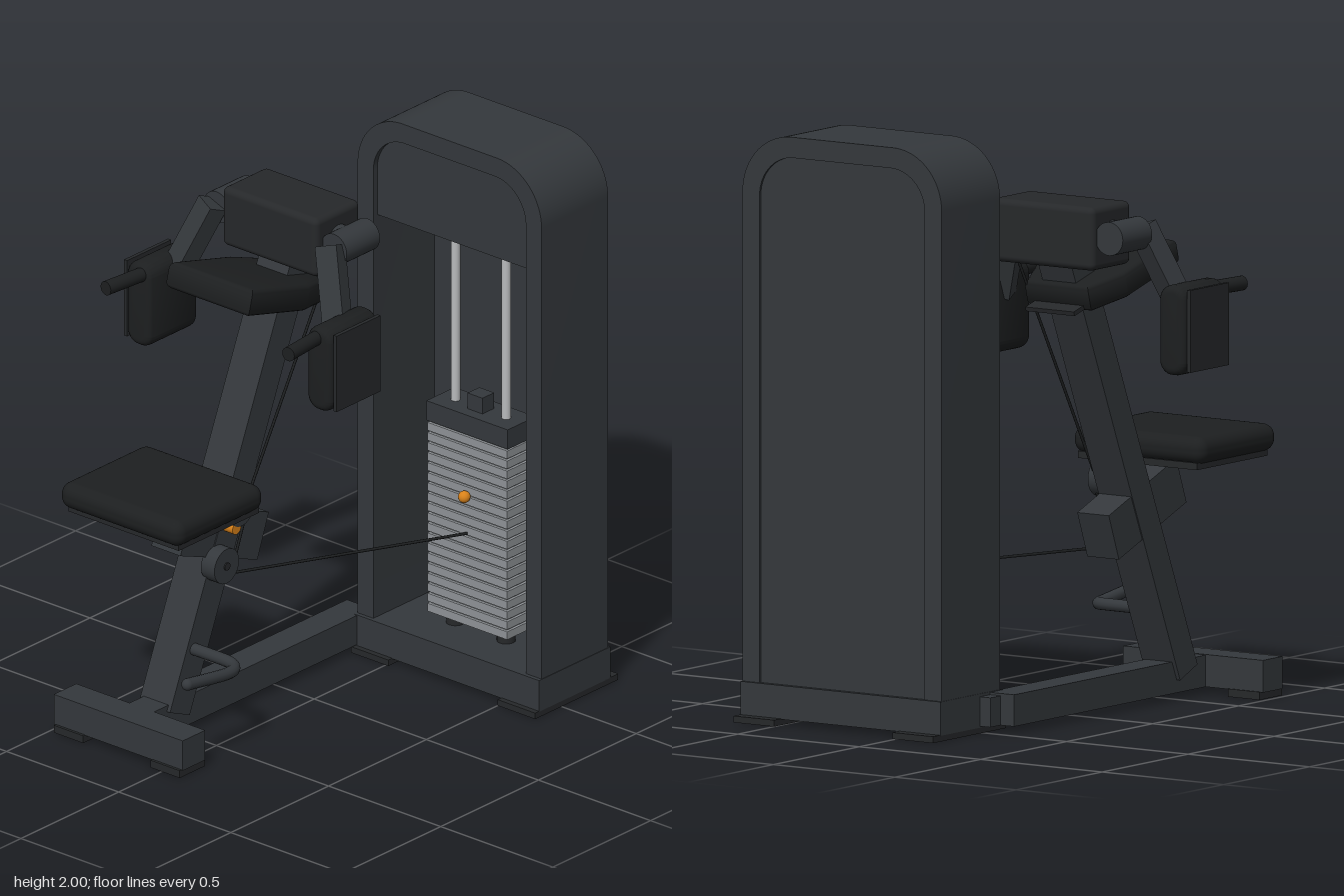
import * as THREE from 'three';
import { toCreasedNormals } from 'three/addons/utils/BufferGeometryUtils.js';
import { RoundedBoxGeometry } from 'three/addons/geometries/RoundedBoxGeometry.js';

const paint = (color) => new THREE.MeshStandardMaterial({ color });
const FRAME = paint(0x34383c), DARK = paint(0x26282a), PAD = paint(0x1d1f20);
const STEEL = paint(0x8f9397), ROD = paint(0xb8babc), ORANGE = paint(0xd9821a);
const MID = -0.2;      // centre plane of the exercise station
const TOWER = 0.255;   // centre plane of the weight tower
const V = (x, y, z) => new THREE.Vector3(x, y, z);

export function createModel() {
  const model = new THREE.Group();
  model.name = 'shoulderRaiseMachine';

  const add = (name, geometry, material, x = 0, y = 0, z = 0, tilt = 0, parent = model) => {
    const mesh = new THREE.Mesh(geometry, material);
    mesh.name = name;
    mesh.position.set(x, y, z);
    mesh.rotation.x = tilt;
    parent.add(mesh);
    return mesh;
  };
  // box given by its limits
  const block = (name, m, x0, x1, y0, y1, z0, z1, r = 0) => add(name,
    r ? new RoundedBoxGeometry(x1 - x0, y1 - y0, z1 - z0, 4, r) : new THREE.BoxGeometry(x1 - x0, y1 - y0, z1 - z0),
    m, (x0 + x1) / 2, (y0 + y1) / 2, (z0 + z1) / 2);
  // straight bar between two points
  const bar = (name, m, a, b, geometryOf, parent = model) => {
    const d = b.clone().sub(a), p = a.clone().add(b).multiplyScalar(0.5);
    const mesh = add(name, geometryOf(d.length()), m, p.x, p.y, p.z, 0, parent);
    mesh.quaternion.setFromUnitVectors(V(0, 1, 0), d.normalize());
    return mesh;
  };
  const round = (r, seg = 20) => (len) => new THREE.CylinderGeometry(r, r, len, seg);
  const extrude = (shape, depth, bevel = 0) => toCreasedNormals(new THREE.ExtrudeGeometry(shape, {
    depth, curveSegments: 14, bevelEnabled: bevel > 0, bevelSize: bevel, bevelThickness: bevel,
    bevelOffset: -bevel, bevelSegments: 4,
  }), 0.6);
  // outline with a flat foot and rounded upper corners
  const arch = (x0, x1, y0, y1, r) => {
    const s = new THREE.Shape();
    s.moveTo(x0, y0).lineTo(x1, y0).lineTo(x1, y1 - r);
    s.absarc(x1 - r, y1 - r, r, 0, Math.PI / 2);
    s.absarc(x0 + r, y1 - r, r, Math.PI / 2, Math.PI);
    return s.closePath();
  };

  // Weight tower: shell, rear cover, upper front panel and base
  const shell = arch(-0.155, 0.665, 0.13, 2, 0.2);
  shell.holes.push(arch(-0.085, 0.595, 0.135, 1.93, 0.14));
  add('towerShell', extrude(shell, 0.34), FRAME, 0, 0, -0.74);
  add('towerRearCover', extrude(arch(-0.085, 0.595, 0.135, 1.93, 0.14), 0.02), FRAME, 0, 0, -0.732);
  add('towerFrontPanel', extrude(arch(-0.085, 0.595, 1.62, 1.93, 0.14), 0.04), FRAME, 0, 0, -0.46);
  block('towerBase', FRAME, -0.157, 0.667, 0.02, 0.135, -0.75, -0.385);
  for (const x of [-0.155, 0.5]) block('towerFoot', DARK, x, x + 0.167, 0, 0.022, -0.79, -0.365);

  // Weight stack, guide rods and selector pin
  const plates = 19, pitch = 0.705 / plates;
  for (let i = 0; i < plates; i++) {
    const y = 0.18 + i * pitch;
    block('weightPlate', STEEL, 0.077, 0.433, y, y + pitch - 0.008, -0.63, -0.49);
    block('plateSpacer', STEEL, 0.087, 0.423, y + pitch - 0.01, y + pitch, -0.62, -0.5);
  }
  block('stackHead', FRAME, 0.075, 0.437, 0.885, 0.957, -0.632, -0.488);
  block('stackStem', FRAME, 0.222, 0.288, 0.957, 1.015, -0.59, -0.53);
  for (const x of [TOWER - 0.113, TOWER + 0.113]) {
    bar('guideRod', ROD, V(x, 0.135, -0.56), V(x, 1.65, -0.56), round(0.016));
    bar('rodCollar', FRAME, V(x, 1.58, -0.56), V(x, 1.68, -0.56), round(0.032));
    bar('rodBuffer', DARK, V(x, 0.13, -0.56), V(x, 0.18, -0.56), round(0.032));
  }
  add('selectorPin', new THREE.SphereGeometry(0.021, 16, 12), ORANGE, TOWER, 0.66, -0.475);

  // Floor frame
  block('floorBeam', FRAME, -0.255, -0.145, 0.025, 0.133, -0.46, 0.68);
  block('beamJoint', FRAME, -0.2, -0.15, 0.025, 0.125, -0.52, -0.36);
  block('frontCrossbar', FRAME, -0.49, 0.085, 0.025, 0.135, 0.655, 0.77);
  for (const x of [-0.48, -0.05]) block('frontFoot', DARK, x, x + 0.13, 0, 0.027, 0.65, 0.78);

  // Leaning post, seat bracket and cable pulleys
  bar('mainPost', FRAME, V(MID, 0.09, 0.537), V(MID, 1.6, -0.106), (l) => new THREE.BoxGeometry(0.138, l, 0.11));
  add('seatBracket', new THREE.BoxGeometry(0.13, 0.167, 0.42), FRAME, MID, 0.673, 0.303, -0.36);
  for (const [y, z] of [[0.585, 0.35], [0.77, 0.272]]) {
    bar('pulley', FRAME, V(-0.145, y, z), V(-0.085, y, z), round(0.063, 32));
    bar('pulleyAxle', DARK, V(-0.15, y, z), V(-0.08, y, z), round(0.014));
  }
  bar('seatPin', ORANGE, V(-0.15, 0.705, 0.295), V(-0.088, 0.705, 0.295), round(0.022));

  // Seat
  block('seatCushion', PAD, -0.47, 0.07, 0.832, 0.926, 0.325, 0.777, 0.042);
  block('seatPlate', DARK, -0.445, 0.045, 0.816, 0.84, 0.335, 0.745);

  // Chest pad, narrower at its lower end
  const chest = new THREE.Shape([[-0.185, 0.225], [-0.185, -0.08], [-0.13, -0.225], [0.13, -0.225],
    [0.185, -0.08], [0.185, 0.225]].map((p) => new THREE.Vector2(...p)));
  const chestGeometry = extrude(chest, 0.05, 0.022).rotateX(Math.PI / 2).translate(0, 0.025, 0);
  add('chestPad', chestGeometry, PAD, MID, 1.5, 0.09, -0.265);
  add('chestPadPlate', new THREE.BoxGeometry(0.2, 0.015, 0.36), DARK, MID, 1.443, 0.0, -0.265);

  // Header housing
  block('headerHousing', DARK, -0.412, 0.012, 1.555, 1.77, -0.225, 0.003, 0.022);

  // Lever arms: hub, arm, elbow pad, backing plate and grip on each side
  const side = (s) => {
    const arm = new THREE.Group();
    arm.name = s > 0 ? 'leftLeverArm' : 'rightLeverArm';
    arm.position.x = MID;
    model.add(arm);
    bar('armHub', FRAME, V(s * 0.262, 1.668, -0.2), V(s * 0.262, 1.668, -0.03), round(0.057, 32), arm);
    bar('hubShaft', FRAME, V(s * 0.19, 1.668, -0.11), V(s * 0.262, 1.668, -0.11), round(0.05), arm);
    bar('arm', FRAME, V(s * 0.262, 1.69, -0.01), V(s * 0.375, 1.4, 0.075),
      (l) => new THREE.BoxGeometry(0.07, l, 0.08), arm);
    const r = 0.05, x = 0.056, y = 0.153, p = new THREE.Shape();
    p.absarc(x - r, y - r, r, 0, Math.PI / 2);
    p.absarc(r - x, y - r, r, Math.PI / 2, Math.PI);
    p.absarc(r - x, r - y, r, Math.PI, Math.PI * 1.5);
    p.absarc(x - r, r - y, r, Math.PI * 1.5, Math.PI * 2);
    add('elbowPad', extrude(p.closePath(), 0.2, 0.025), PAD, s * 0.402, 1.348, -0.013, 0, arm);
    add('elbowPadPlate', new THREE.BoxGeometry(0.014, 0.28, 0.225), DARK, s * 0.467, 1.35, 0.087, 0, arm);
    bar('grip', PAD, V(s * 0.385, 1.462, 0.15), V(s * 0.407, 1.462, 0.37), round(0.025), arm);
  };
  side(1);
  side(-1);

  // Foot lever and cables
  const tube = (name, m, pts, r, tension) => add(name, new THREE.TubeGeometry(
    new THREE.CatmullRomCurve3(pts, false, 'catmullrom', tension), 48, r, 12), m);
  tube('footLever', FRAME, [V(-0.17, 0.305, 0.465), V(0.02, 0.305, 0.465), V(0.07, 0.302, 0.49),
    V(0.084, 0.305, 0.55), V(0.08, 0.332, 0.74)], 0.021, 0.4);
  add('footLeverEnd', new THREE.SphereGeometry(0.021, 16, 12), FRAME, 0.08, 0.332, 0.74);
  bar('stackCable', PAD, V(-0.105, 0.533, 0.28), V(TOWER, 0.52, -0.49), round(0.005, 8));
  bar('headerCable', PAD, V(-0.07, 1.57, -0.18), V(-0.105, 0.8, 0.215), round(0.005, 8));
  bar('linkCable', PAD, V(-0.105, 0.77, 0.215), V(-0.105, 0.55, 0.3), round(0.005, 8));

  return model;
}
